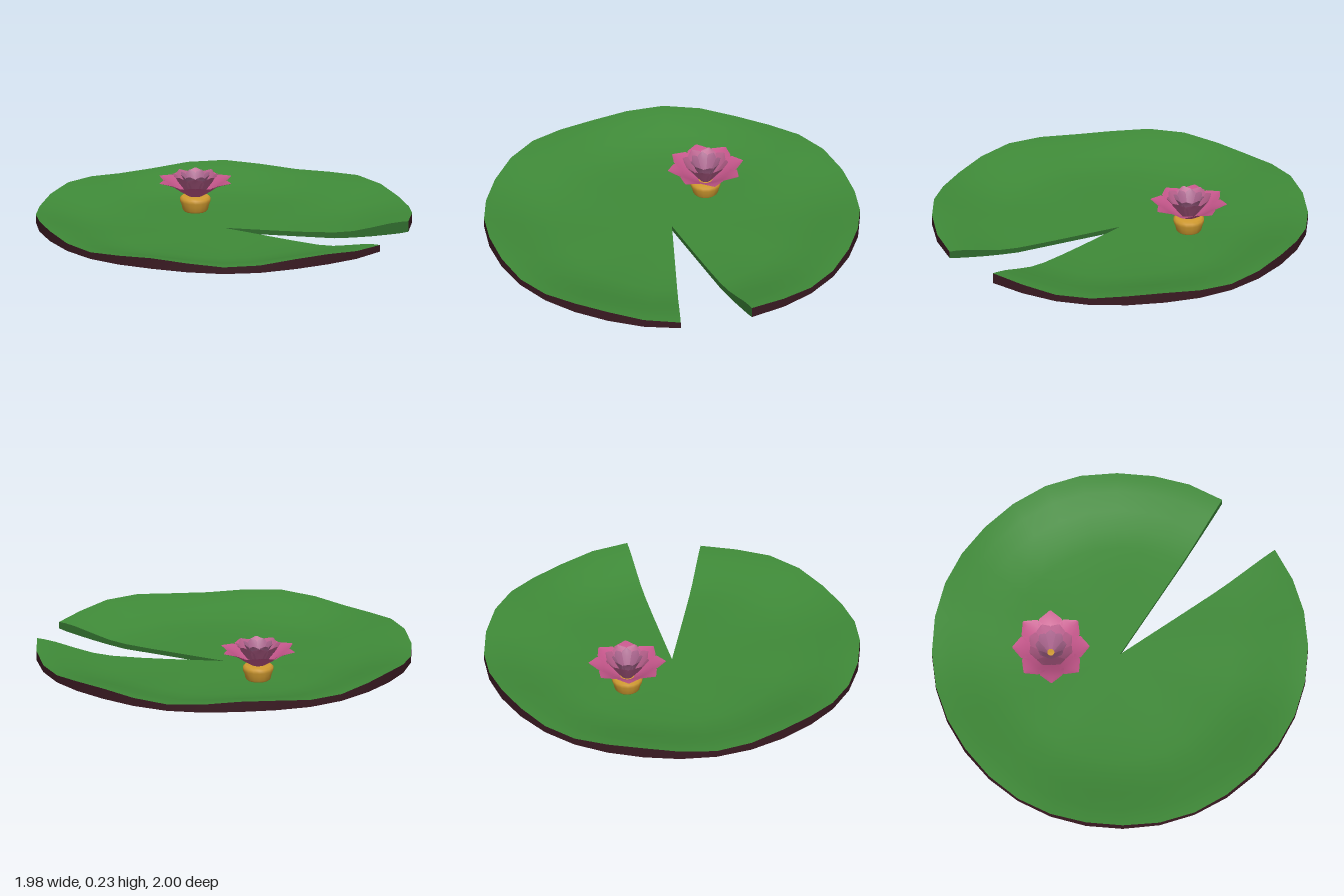
import * as THREE from 'three';

// Smooth grid surface: point(i, j) returns [x, y, z]
function sheet(cols, rows, point) {
  const pos = [], index = [];
  for (let i = 0; i <= cols; i++) for (let j = 0; j <= rows; j++) pos.push(...point(i, j));
  const id = (i, j) => i * (rows + 1) + j;
  for (let i = 0; i < cols; i++) for (let j = 0; j < rows; j++) {
    const a = id(i, j), b = id(i + 1, j), c = id(i + 1, j + 1), d = id(i, j + 1);
    index.push(a, b, c, a, c, d);
  }
  const g = new THREE.BufferGeometry();
  g.setAttribute('position', new THREE.Float32BufferAttribute(pos, 3));
  g.setIndex(index);
  g.computeVertexNormals();
  return g;
}

function mesh(name, geometry, material) {
  const m = new THREE.Mesh(geometry, material);
  m.name = name;
  return m;
}

const mat = (color, side = THREE.FrontSide) => new THREE.MeshStandardMaterial({ color, side });

// Pad cross-section: radius with upper and lower heights
const R = [0, 0.15, 0.3, 0.45, 0.6, 0.7, 0.8, 0.9, 0.96, 1];
const TOP = [0.025, 0.025, 0.025, 0.026, 0.03, 0.041, 0.064, 0.089, 0.099, 0.103];
const BOTTOM = [0, 0, 0, 0, 0, 0.009, 0.021, 0.036, 0.046, 0.056];
const SEGMENTS = 30, STEP = Math.PI / 16, LAST = R.length - 1;

// Seven waves around the rim, fading toward the centre
function padPoint(i, k, upper) {
  const a = (i + 1) * STEP, r = R[k];
  const wave = -Math.sin(7 * a) * r ** 3 * (upper ? 0.015 : 0.004);
  return [r * Math.cos(a), (upper ? TOP : BOTTOM)[k] + wave, r * Math.sin(a)];
}

function makePad() {
  const pad = new THREE.Group();
  pad.name = 'lilyPad';
  const green = mat(0x3f8a38), dark = mat(0x3a1a22);
  pad.add(mesh('padTop', sheet(SEGMENTS, LAST, (i, j) => padPoint(i, j, true)), green));
  // Underside starts at the upper rim, so it also forms the outer edge
  pad.add(mesh('padRim', sheet(SEGMENTS, 1, (i, j) => padPoint(i, LAST, j === 0)), dark));
  pad.add(mesh('padUnderside', sheet(SEGMENTS, LAST, (i, j) => padPoint(i, LAST - j, false)), dark));
  // Walls of the notch
  const wall = mat(0x2f6a2c, THREE.DoubleSide);
  for (const i of [0, SEGMENTS])
    pad.add(mesh('notchWall', sheet(LAST, 1, (k, j) => padPoint(i, k, j === 0)), wall));
  return pad;
}

// Petal from rows of [radius, height, half width], edges lifted by cup
function petalGeometry(rows, cup) {
  return sheet(4, rows.length - 1, (i, j) => {
    const [r, y, w] = rows[j], s = i / 2 - 1;
    return [s * w, y + cup * s * s * w, r - 0.1 * s * s * w];
  });
}

function makeFlower() {
  const flower = new THREE.Group();
  flower.name = 'flower';
  flower.position.set(-0.27, 0, -0.25);

  // Golden cup under the petals
  const cup = [[0, 0.02], [0.055, 0.022], [0.068, 0.035], [0.073, 0.06], [0.082, 0.08],
    [0.082, 0.098], [0.07, 0.108], [0, 0.112]].map(p => new THREE.Vector2(...p));
  flower.add(mesh('flowerCup', new THREE.LatheGeometry(cup, 16), mat(0xd09a30)));

  // Rings of petals
  const rings = [
    { name: 'outerPetal', count: 8, turn: 0, cup: 0.12, color: 0xc4568a,
      rows: [[0.035, 0.108, 0.02], [0.08, 0.135, 0.045], [0.125, 0.168, 0.068], [0.165, 0.185, 0.06], [0.205, 0.195, 0.004]] },
    { name: 'middlePetal', count: 8, turn: 0.5, cup: 0.1, color: 0xb8608c,
      rows: [[0.03, 0.11, 0.015], [0.06, 0.15, 0.035], [0.09, 0.19, 0.048], [0.108, 0.213, 0.038], [0.122, 0.229, 0.004]] },
    { name: 'innerPetal', count: 8, turn: 0, cup: 0.1, color: 0xa8648c,
      rows: [[0.018, 0.11, 0.01], [0.038, 0.155, 0.022], [0.058, 0.195, 0.032], [0.072, 0.217, 0.024], [0.082, 0.23, 0.003]] },
  ];
  for (const { name, count, turn, cup: lift, color, rows } of rings) {
    const geometry = petalGeometry(rows, lift), material = mat(color, THREE.DoubleSide);
    for (let n = 0; n < count; n++) {
      const petal = mesh(name, geometry, material);
      petal.rotation.y = (n + turn) * 2 * Math.PI / count;
      flower.add(petal);
    }
  }
  return flower;
}

export function createModel() {
  const model = new THREE.Group();
  model.name = 'waterLily';
  model.add(makePad(), makeFlower());
  return model;
}
